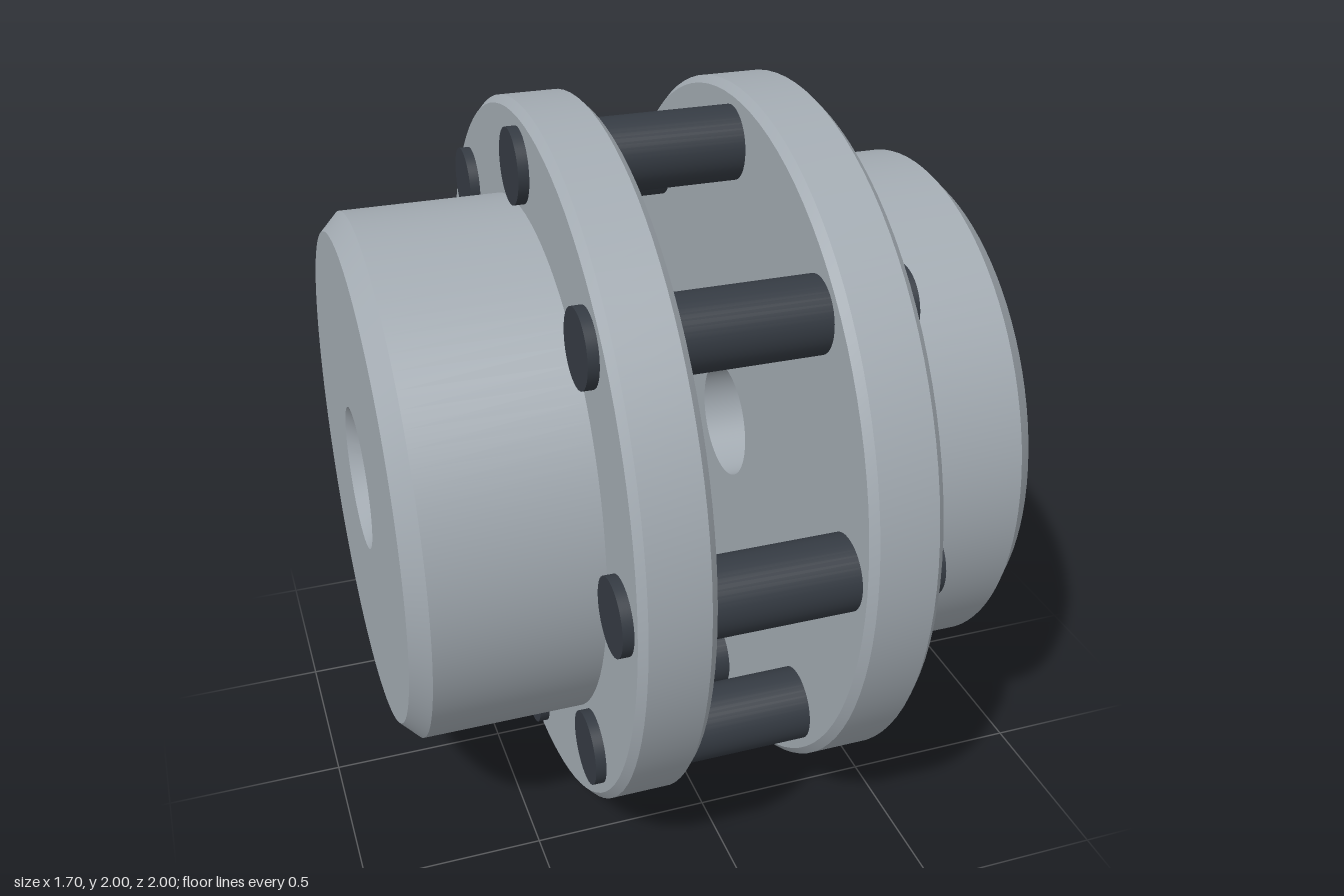
import * as THREE from 'three';
import { toCreasedNormals } from 'three/addons/utils/BufferGeometryUtils.js';

const steel = new THREE.MeshStandardMaterial({ color: 0xa3abb2 });
steel.name = 'steel grey';
const darkSteel = new THREE.MeshStandardMaterial({ color: 0x353b43 });
darkSteel.name = 'dark pin steel';

// Revolve [radius, position along the shaft] points around the shaft
function turned(name, profile, material, segments = 96) {
  const points = profile.map(([r, a]) => new THREE.Vector2(r, a));
  const geometry = toCreasedNormals(new THREE.LatheGeometry(points, segments), 0.5);
  geometry.rotateZ(-Math.PI / 2);
  const mesh = new THREE.Mesh(geometry, material);
  mesh.name = name;
  return mesh;
}

export function createModel() {
  const model = new THREE.Group();
  model.name = 'pinCoupling';
  const shaft = new THREE.Group();
  shaft.name = 'couplingAssembly';
  shaft.position.y = 1;
  model.add(shaft);

  const hubRadius = 0.735, chamfer = 0.05, bevel = 0.02;

  // Long hub: bevelled flange on its inner end, small countersunk bore
  shaft.add(turned('longHub', [
    [0.2, -0.85], [hubRadius - chamfer, -0.85], [hubRadius, -0.85 + chamfer],
    [hubRadius, -0.355],
    [1 - bevel, -0.355], [1, -0.355 + bevel],
    [1, -0.155 - bevel], [1 - bevel, -0.155],
    [0.168, -0.155], [0.133, -0.19], [0.133, -0.783], [0.2, -0.85],
  ], steel));

  // Short hub: wider plain bore
  shaft.add(turned('shortHub', [
    [0.168, 0.237], [1 - bevel, 0.237], [1, 0.237 + bevel],
    [1, 0.437 - bevel], [1 - bevel, 0.437],
    [hubRadius, 0.437], [hubRadius, 0.85 - chamfer],
    [hubRadius - chamfer, 0.85], [0.168, 0.85], [0.168, 0.237],
  ], steel));

  // Ring of eight pins passing through both flanges
  const pinGeometry = new THREE.CylinderGeometry(0.102, 0.102, 0.85, 40);
  pinGeometry.rotateZ(-Math.PI / 2);
  for (let i = 0; i < 8; i++) {
    const angle = (i * Math.PI) / 4;
    const pin = new THREE.Mesh(pinGeometry, darkSteel);
    pin.name = 'pin' + (i + 1);
    pin.position.set(0.041, 0.853 * Math.cos(angle), 0.853 * Math.sin(angle));
    shaft.add(pin);
  }

  // Tiny centre mark inside the long hub's bore
  const mark = new THREE.Mesh(new THREE.SphereGeometry(0.015, 16, 12), steel);
  mark.name = 'centreMark';
  mark.position.x = -0.73;
  shaft.add(mark);

  return model;
}
